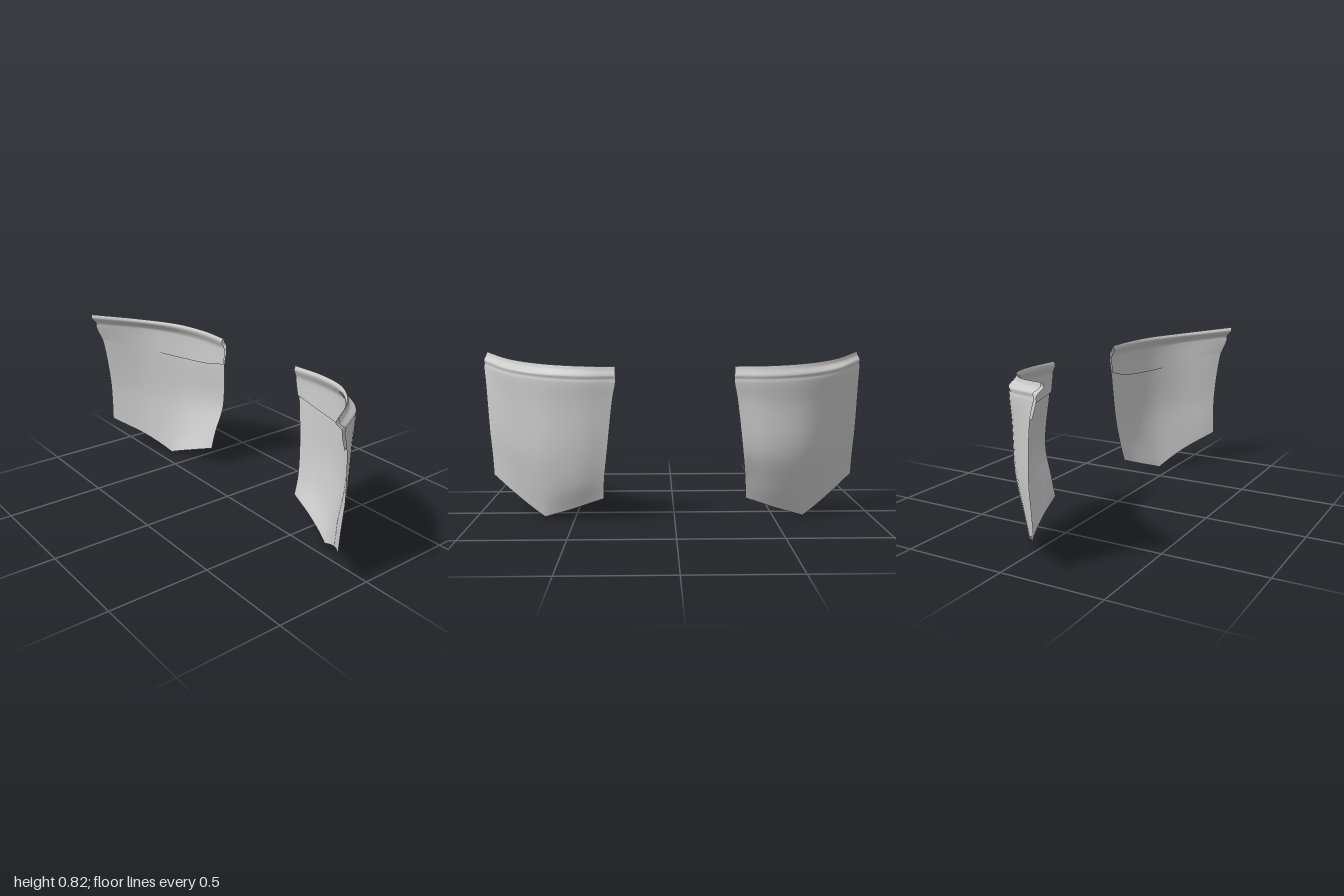
import * as THREE from 'three';

const COLS = 28, STEPS = 5;

// Cross-sections of one pocket, inner edge to outer edge: [x, y, z]
const rim = [[.288, .768, -.192], [.455, .77, -.195], [.64, .778, -.145], [.82, .793, -.002], [.984, .821, .221]];
const belt = [[.286, .708, -.212], [.455, .707, -.218], [.64, .714, -.175], [.822, .731, -.055], [.996, .762, .189]];
const hem = [[.3, .618, -.21], [.46, .582, -.212], [.64, .575, -.17], [.815, .603, -.052], [.985, .668, .162]];
const mid = [[.33, .36, -.2], [.475, .35, -.205], [.645, .34, -.162], [.805, .36, -.046], [.966, .41, .134]];
const low = [[.347, .21, -.18], [.49, .18, -.178], [.65, .15, -.124], [.802, .21, -.018], [.956, .275, .136]];
const tip = [[.352, .11, -.155], [.5, .055, -.13], [.655, 0, -.08], [.802, .0875, .008], [.952, .175, .14]];

// Move a section vertically and along its inward direction
const shift = (row, dy, inward) => row.map(([x, y, z], i) => {
  const a = (i / 4) * Math.PI / 3;
  return [x - Math.sin(a) * inward, y + dy, z + Math.cos(a) * inward];
});

function pocketGeometry(side) {
  // The right-hand pocket is a little fuller in its lower half
  const full = mid.map(([x, y, z], i) => [x, y, z - (side < 0 ? [.022, .018, .008, 0, 0][i] : 0)]);
  const rows = [
    shift(hem, 0, .009),       // lower edge of the folded-in facing
    shift(belt, -.02, .012),
    shift(belt, .004, .014),   // seam showing on the inside
    shift(rim, -.018, .009),
    rim,                       // rolled top edge
    shift(rim, -.02, -.008),
    shift(belt, .016, 0),
    shift(belt, 0, .0025),     // stitched groove
    shift(belt, -.016, 0),
    hem, full, low, tip,
  ];
  const sections = rows.map(r => new THREE.CatmullRomCurve3(r.map(p => new THREE.Vector3(...p))));
  const count = (rows.length - 1) * STEPS;
  const pos = [], index = [];
  for (let i = 0; i <= COLS; i++) {
    const u = i / COLS;
    const pts = sections.map(c => c.getPoint(u));
    // Straight lower edges meeting in a sharp point
    const k = Math.min(3, Math.floor(u * 4));
    pts[pts.length - 1].y = THREE.MathUtils.lerp(tip[k][1], tip[k + 1][1], u * 4 - k);
    const column = new THREE.CatmullRomCurve3(pts);
    for (let j = 0; j <= count; j++) {
      const p = column.getPoint(j / count);
      pos.push(p.x * side, Math.max(0, p.y), p.z);
      if (i < COLS && j < count) {
        const a = i * (count + 1) + j, b = a + count + 1;
        if (side > 0) index.push(a, b, a + 1, b, b + 1, a + 1);
        else index.push(a, a + 1, b, b, a + 1, b + 1);
      }
    }
  }
  const geo = new THREE.BufferGeometry();
  geo.setAttribute('position', new THREE.Float32BufferAttribute(pos, 3));
  geo.setIndex(index);
  geo.computeVertexNormals();
  return geo;
}

export function createModel() {
  const group = new THREE.Group();
  group.name = 'backPockets';
  const cloth = new THREE.MeshStandardMaterial({ color: 0xcccccc, side: THREE.DoubleSide });
  for (const side of [1, -1]) {
    const pocket = new THREE.Mesh(pocketGeometry(side), cloth);
    pocket.name = side > 0 ? 'leftPocket' : 'rightPocket';
    group.add(pocket);
  }
  return group;
}
